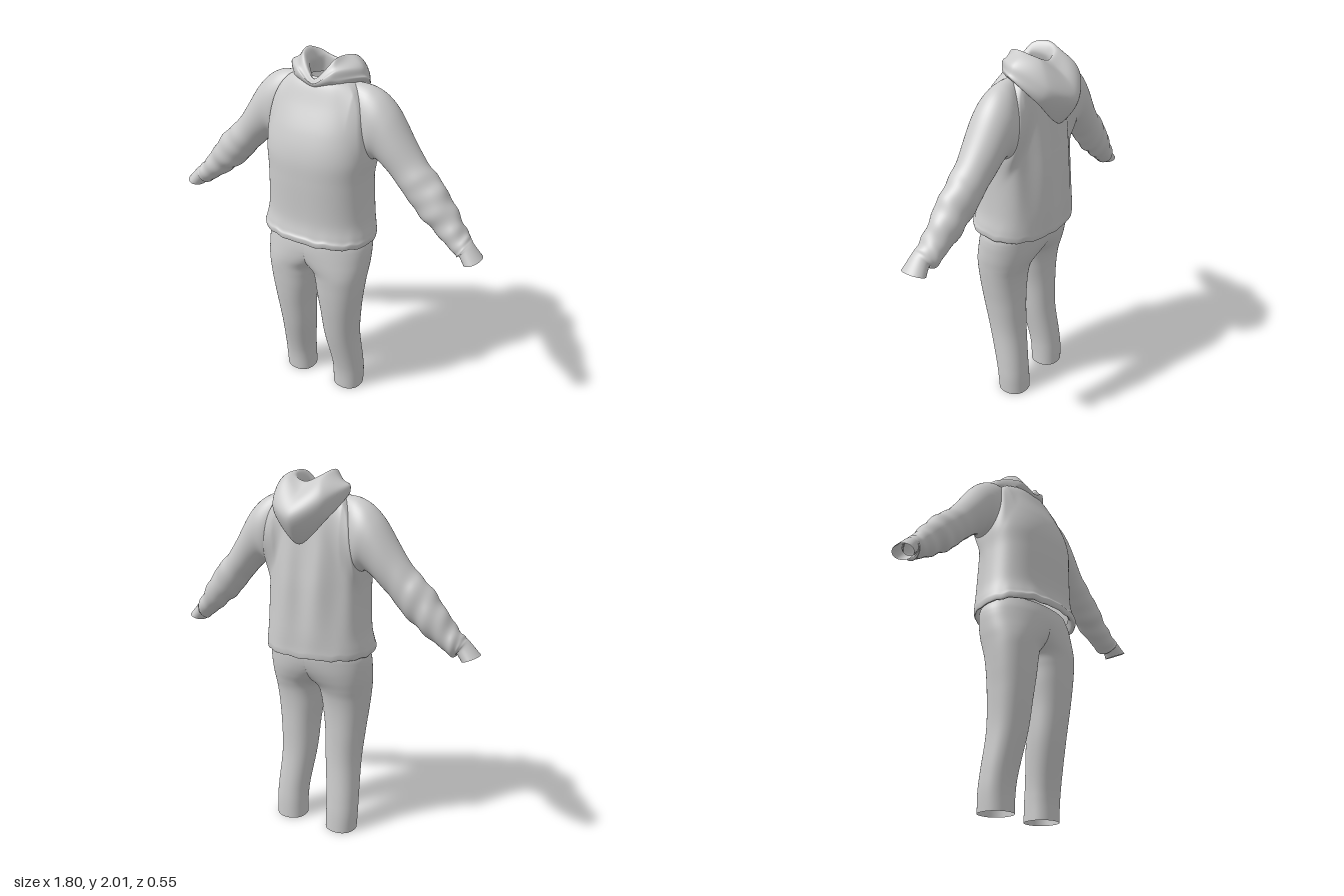
import * as THREE from 'three';

const material = new THREE.MeshStandardMaterial({ color: 0xcccccc, side: THREE.DoubleSide });
const TAU = Math.PI * 2;

// Smooth surface from fn(u, v) -> [x, y, z]; closed around u, open along v.
// Faces lying flat in the centre plane x = 0 are left out.
function surface(name, fn, nu, nv) {
  const pos = [], index = [];
  for (let j = 0; j <= nv; j++)
    for (let i = 0; i < nu; i++) pos.push(...fn(i / nu, j / nv));
  const face = (...corners) => {
    if (corners.some(k => Math.abs(pos[k * 3]) > 1e-6)) index.push(...corners);
  };
  for (let j = 0; j < nv; j++)
    for (let i = 0; i < nu; i++) {
      const a = j * nu + i, b = j * nu + (i + 1) % nu;
      face(a, a + nu, b);
      face(b, a + nu, b + nu);
    }
  const g = new THREE.BufferGeometry();
  g.setAttribute('position', new THREE.Float32BufferAttribute(pos, 3));
  g.setIndex(index);
  g.computeVertexNormals();
  const mesh = new THREE.Mesh(g, material);
  mesh.name = name;
  return mesh;
}

// Same surface on the other side of the body
const mirrored = fn => (u, v) => {
  const [x, y, z] = fn(1 - u, v);
  return [-x, y, z];
};

// Catmull-Rom interpolation through rows of numbers
function sample(rows, t) {
  const n = rows.length - 1, s = Math.min(t * n, n - 1e-9), i = Math.floor(s), f = s - i;
  const at = k => rows[Math.max(0, Math.min(n, k))];
  const [a, b, c, d] = [at(i - 1), at(i), at(i + 1), at(i + 2)];
  return b.map((_, k) => 0.5 * (2 * b[k] + (c[k] - a[k]) * f
    + (2 * a[k] - 5 * b[k] + 4 * c[k] - d[k]) * f * f
    + (3 * b[k] - a[k] - 3 * c[k] + d[k]) * f * f * f));
}

// Rounded cross-section: unit superellipse
function unit(u, n) {
  const c = Math.cos(u * TAU), s = Math.sin(u * TAU);
  const p = q => Math.sign(q) * Math.abs(q) ** (2 / n);
  return [p(c), p(s)];
}

// Rows: y, centre x, half width, front z, back z
const legRows = [
  [0, 0.165, 0.088, 0.085, -0.09], [0.1, 0.167, 0.09, 0.09, -0.086],
  [0.2, 0.163, 0.091, 0.107, -0.076], [0.4, 0.147, 0.099, 0.155, -0.053],
  [0.58, 0.147, 0.111, 0.188, -0.048], [0.7, 0.146, 0.126, 0.204, -0.05],
  [0.79, 0.145, 0.138, 0.212, -0.06], [0.85, 0.138, 0.152, 0.217, -0.078],
  [0.9, 0.105, 0.191, 0.221, -0.1], [0.95, 0.06, 0.239, 0.223, -0.12],
  [1.0, 0.015, 0.285, 0.223, -0.134], [1.04, 0, 0.295, 0.218, -0.138],
  [1.09, 0, 0.275, 0.205, -0.13],
];
const torsoRows = [
  [1.1, 0, 0.275, 0.225, -0.14], [1.06, 0, 0.29, 0.245, -0.16],
  [1.05, 0, 0.305, 0.265, -0.173], [1.075, 0, 0.31, 0.27, -0.178],
  [1.105, 0, 0.305, 0.258, -0.178], [1.2, 0, 0.289, 0.245, -0.178],
  [1.4, 0, 0.28, 0.248, -0.17], [1.53, 0, 0.285, 0.243, -0.158],
  [1.65, 0, 0.275, 0.21, -0.145], [1.78, 0, 0.25, 0.15, -0.132],
  [1.86, 0, 0.2, 0.115, -0.122], [1.895, 0, 0.14, 0.09, -0.11], [1.9, 0, 0.1, 0.075, -0.1],
];

function ring(rows, u, v, n) {
  const [y, cx, w, zf, zb] = sample(rows, v), [c, s] = unit(u, n);
  return [cx + w * c, y, (zf + zb) / 2 + (zf - zb) / 2 * s];
}

// Above the crotch the leg is held at the centre plane and opens into the hips
function leg(u, v) {
  const [x, y, z] = ring(legRows, u, v, 2.2);
  return [Math.max(0, x), y, z];
}

const smoothMax = (a, b, k) => {
  const h = Math.max(0, k - Math.abs(a - b));
  return Math.max(a, b) + h * h / (4 * k);
};

// Sweatshirt body: gathered hem, soft folds at the back, swelling into the sleeves
function torso(u, v) {
  let [x, y, z] = ring(torsoRows, u, v, 2.35);
  const hem = Math.max(0, 1 - Math.abs(y - 1.07) / 0.12);
  const back = Math.sin(Math.PI * Math.min(1, Math.max(0, (y - 1.08) / 0.75)));
  if (z < 0) z += 0.01 * back * Math.cos(x * 34) * Math.min(1, -z / 0.1);
  const side = Math.sin(u * TAU), ax = Math.abs(x), face = side < 0 ? -1 : 1;
  const d = (ax - 0.2) * 0.6 + (y - 1.7) * 0.8;
  const swell = 0.115 * (1 - (d / 0.2) ** 2) - Math.max(0, 0.2 - ax) * 0.6;
  const lift = smoothMax(z * face, swell - 0.01 * face, 0.06) - z * face;
  if (y > 1.2) z += face * lift * Math.min(1, Math.abs(side) * 2.5);
  y += hem * (0.07 * z + 0.003 * Math.sin(u * TAU * 13) + 0.002 * Math.sin(u * TAU * 22 + 1));
  return [x, y, z];
}

// Rows: top x, y, underside x, y, centre z, half depth
const sleeveRows = [
  [0.14, 1.885, 0.2, 1.54, 0, 0.07], [0.27, 1.868, 0.25, 1.49, -0.012, 0.112],
  [0.38, 1.785, 0.31, 1.51, -0.015, 0.112], [0.52, 1.58, 0.42, 1.42, -0.01, 0.095],
  [0.61, 1.49, 0.5, 1.33, -0.005, 0.09], [0.69, 1.4, 0.59, 1.25, 0, 0.084],
  [0.76, 1.3, 0.69, 1.18, 0.008, 0.072], [0.808, 1.238, 0.768, 1.125, 0.02, 0.068],
  [0.832, 1.213, 0.785, 1.128, 0.03, 0.06], [0.85, 1.195, 0.788, 1.137, 0.035, 0.055],
  [0.9, 1.14, 0.815, 1.103, 0.038, 0.067],
];
function sleeve(u, v) {
  const [tx, ty, bx, by, zc, zh] = sample(sleeveRows, v);
  const a = u * TAU;
  const fade = Math.max(0, Math.min(1, (v - 0.2) * 3, (0.82 - v) * 8));
  const r = 1 + fade * (0.035 * Math.sin(v * 46 + 2 * Math.sin(a)) + 0.03 * Math.sin(v * 71 - 2 * a));
  const c = Math.cos(a) * r;
  return [(tx + bx) / 2 + (tx - bx) / 2 * c, (ty + by) / 2 + (ty - by) / 2 * c,
    zc - zh * r * Math.sin(a)];
}

// Hood: each row runs front, front side, side, back side, back (x, y, z each)
const hoodRows = [
  [0, 1.85, 0.1, 0.12, 1.885, 0.08, 0.18, 1.87, -0.02, 0.13, 1.82, -0.11, 0, 1.72, -0.13],
  [0, 1.868, 0.12, 0.1, 1.91, 0.1, 0.21, 1.9, -0.03, 0.15, 1.775, -0.155, 0, 1.64, -0.185],
  [0, 1.88, 0.115, 0.1, 1.945, 0.082, 0.19, 1.935, -0.04, 0.14, 1.86, -0.2, 0, 1.785, -0.275],
  [0, 1.89, 0.1, 0.085, 1.985, 0.05, 0.115, 1.999, -0.04, 0.095, 1.965, -0.13, 0, 1.89, -0.19],
  [0, 1.875, 0.08, 0.065, 1.945, 0.04, 0.08, 1.95, -0.04, 0.055, 1.955, -0.09, 0, 1.945, -0.11],
  [0, 1.84, 0.075, 0.08, 1.87, 0.03, 0.1, 1.87, -0.04, 0.06, 1.87, -0.09, 0, 1.87, -0.1],
];
function hood(u, v) {
  const row = sample(hoodRows, v);
  const p = (i, side) => new THREE.Vector3(side * row[i * 3], row[i * 3 + 1], row[i * 3 + 2]);
  const points = [0, 1, 2, 3, 4].map(i => p(i, -1)).concat([3, 2, 1].map(i => p(i, 1)));
  const q = new THREE.CatmullRomCurve3(points, true, 'catmullrom', 0.4).getPoint(u);
  // Folds along the turned cloth
  const fold = 0.006 * Math.sin(Math.PI * v) * Math.sin(v * 20 + 3 * Math.cos(u * TAU) + Math.sin(u * TAU));
  return [q.x * (1 + fold * 4), q.y + fold, q.z];
}

export function createModel() {
  const model = new THREE.Group();
  const trousers = new THREE.Group(), hoodie = new THREE.Group();
  trousers.name = 'trousers';
  hoodie.name = 'hoodedSweatshirt';
  trousers.add(
    surface('leftLeg', leg, 72, 96),
    surface('rightLeg', mirrored(leg), 72, 96),
  );
  hoodie.add(
    surface('body', torso, 144, 110),
    surface('leftSleeve', sleeve, 48, 110),
    surface('rightSleeve', mirrored(sleeve), 48, 110),
    surface('hood', hood, 96, 50),
  );
  model.add(trousers, hoodie);
  return model;
}
